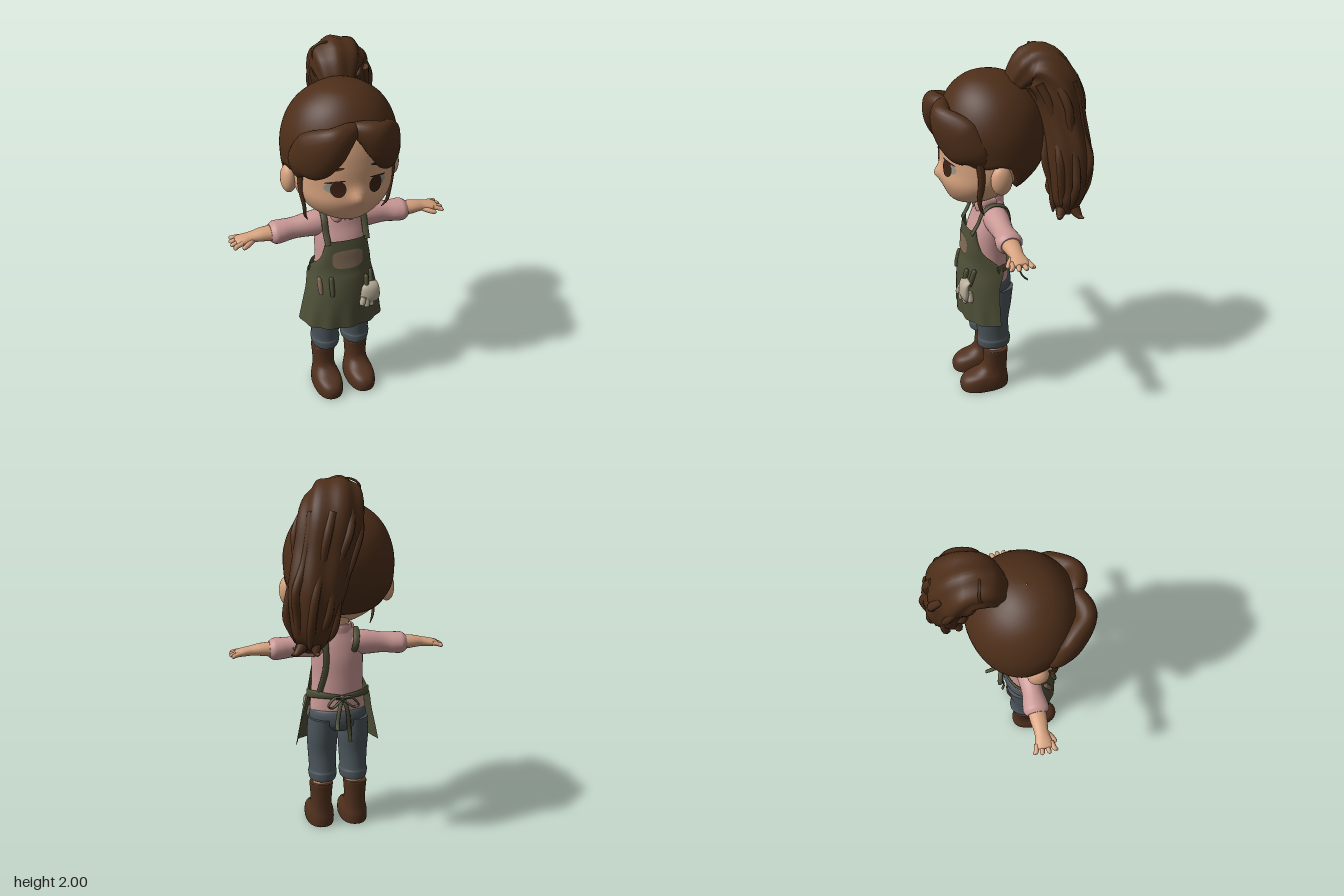
import * as THREE from 'three';

const V3 = (x, y, z) => new THREE.Vector3(x, y, z);
const X = V3(1, 0, 0), Y = V3(0, 1, 0), Z = V3(0, 0, 1);
const paint = (name, color) => {
  const m = new THREE.MeshStandardMaterial({ color, side: THREE.DoubleSide });
  m.name = name;
  return m;
};

// Smooth interpolation of a table of number rows
function at(table, t) {
  const n = table.length - 1, i = Math.max(0, Math.min(n - 1, Math.floor(t))), f = t - i;
  const p = k => table[Math.max(0, Math.min(n, i + k))];
  return table[0].map((_, c) => {
    const a = p(-1)[c], b = p(0)[c], d = p(1)[c], e = p(2)[c];
    return b + 0.5 * f * (d - a + f * (2 * a - 5 * b + 4 * d - e + f * (3 * (b - d) + e - a)));
  });
}
// Table position whose first value is y
function find(table, y) {
  let lo = 0, hi = table.length - 1;
  for (let k = 0; k < 30; k++) {
    const m = (lo + hi) / 2;
    if (at(table, m)[0] < y) lo = m; else hi = m;
  }
  return lo;
}
// Surface through rows of points
function skinRows(rows, closed) {
  const w = rows[0].length, idx = [];
  for (let i = 0; i < rows.length - 1; i++)
    for (let j = 0; j < (closed ? w : w - 1); j++) {
      const k = (j + 1) % w, a = i * w + j, b = i * w + k, c = a + w, d = b + w;
      idx.push(a, b, c, b, d, c);
    }
  const g = new THREE.BufferGeometry().setFromPoints(rows.flat());
  g.setIndex(idx);
  g.computeVertexNormals();
  return g;
}
function capped(rows) {
  const end = r => {
    const c = r.reduce((s, p) => s.add(p), V3(0, 0, 0)).divideScalar(r.length);
    return r.map(() => c.clone());
  };
  const first = rows[0], last = rows[rows.length - 1];
  return skinRows([end(first), first, ...rows, last, end(last)], true);
}
const pw = (v, p) => Math.sign(v) * Math.abs(v) ** p;
const ringPoint = ([y, rx, zb, zf], a, cx = 0, p = 1) =>
  V3(cx + rx * pw(Math.sin(a), p), y, (zb + zf) / 2 + (zf - zb) / 2 * pw(Math.cos(a), p));
// Upright body from rows of [y, half width, back z, front z]
function loft(table, cx = 0, p = 1, seg = 36) {
  const n = (table.length - 1) * 5, rows = [];
  for (let i = 0; i <= n; i++) {
    const r = at(table, i / 5);
    rows.push(Array.from({ length: seg }, (_, j) => ringPoint(r, j / seg * Math.PI * 2, cx, p)));
  }
  return capped(rows);
}
// Tube along rows of [x, y, z, radius across, radius along up]
function sweep(table, up = Y, seg = 14, ridge = 0) {
  const n = (table.length - 1) * 6, rows = [], end = table.length - 1;
  for (let i = 0; i <= n; i++) {
    const t = i / 6, [x, y, z, a, b] = at(table, t);
    const q = at(table, Math.min(end, t + 0.02)), o = at(table, Math.max(0, t - 0.02));
    const T = V3(q[0] - o[0], q[1] - o[1], q[2] - o[2]).normalize();
    const N = up.clone().cross(T).normalize(), B = T.clone().cross(N);
    rows.push(Array.from({ length: seg }, (_, j) => {
      const f = j / seg * Math.PI * 2, k = 1 + ridge * Math.cos(7 * f + t);
      return V3(x, y, z).addScaledVector(N, a * k * Math.cos(f)).addScaledVector(B, b * k * Math.sin(f));
    }));
  }
  return capped(rows);
}
// Thin plate laid on a curved front
function patch(zAt, cx, cy, w, h, off, p = 1, tilt = 0) {
  const g = new THREE.RingGeometry(0.001, 1, 32, 5), q = g.attributes.position;
  for (let i = 0; i < q.count; i++) {
    const r = Math.hypot(q.getX(i), q.getY(i)), a = Math.atan2(q.getY(i), q.getX(i));
    const x = cx + w * r * pw(Math.cos(a), p), y = cy + h * r * pw(Math.sin(a), p) + tilt * (x - cx);
    q.setXYZ(i, x, y, zAt(x, y) + off);
  }
  g.computeVertexNormals();
  return g;
}

const HEAD = [[1.185, .03, .14, .24], [1.2, .11, .08, .295], [1.25, .195, .01, .328], [1.32, .245, -.06, .352],
  [1.4, .265, -.12, .345], [1.5, .262, -.14, .345], [1.6, .25, -.14, .335], [1.68, .21, -.1, .305], [1.76, .1, 0, .2]];
const HAIR = [[1.25, .13, -.02, .2], [1.3, .22, -.1, .25], [1.4, .283, -.18, .29], [1.5, .3, -.208, .325],
  [1.6, .297, -.21, .352], [1.7, .265, -.178, .328], [1.78, .21, -.115, .282], [1.835, .135, -.04, .22],
  [1.86, .065, .02, .155], [1.868, .002, .085, .09]];
const APRON = [[.49, .236, .09, .275], [.6, .216, .09, .277], [.7, .196, .085, .275], [.79, .177, .06, .265],
  [.84, .163, .095, .252], [.9, .142, .16, .243], [.97, .124, .185, .238], [1.03, .115, .19, .228]];
const TORSO = [[.7, .153, -.005, .2], [.715, .158, -.01, .21], [.8, .15, -.01, .22], [.9, .145, -.01, .225],
  [1, .145, -.01, .21], [1.08, .138, 0, .18], [1.14, .11, .012, .165], [1.18, .07, .02, .15]];
// Lower hair edge by angle from the front, in degrees
const EDGE = [[0, 1.69], [30, 1.58], [55, 1.45], [75, 1.455], [90, 1.445], [104, 1.36], [125, 1.285], [180, 1.27]];

const round = (x, r) => Math.sqrt(Math.max(0, 1 - (x / r) ** 2));
const faceZ = (x, y) => {
  const [, rx, zb, zf] = at(HEAD, find(HEAD, y));
  return (zb + zf) / 2 + (zf - zb) / 2 * round(x, rx);
};
const apronZ = (x, y) => {
  const [, hw, zs, zf] = at(APRON, find(APRON, y));
  return zs + (zf - zs) * round(x, hw) ** .8;
};

// Head with a soft nose raised from the face
function headShape() {
  const g = loft(HEAD, 0, 1, 96), q = g.attributes.position;
  for (let i = 0; i < q.count; i++) {
    const x = q.getX(i), y = q.getY(i), z = q.getZ(i);
    if (z > .25) q.setZ(i, z + .032 * Math.exp(-((x / .032) ** 2) - ((y - 1.352) / .038) ** 2));
  }
  g.computeVertexNormals();
  return g;
}
function hairCap() {
  const seg = 72, n = 30, rows = [];
  for (let i = 0; i <= n; i++) rows.push(Array.from({ length: seg }, (_, j) => {
    const a = j / seg * Math.PI * 2, deg = Math.min(a, Math.PI * 2 - a) * 180 / Math.PI;
    const t0 = find(HAIR, at(EDGE, find(EDGE, deg))[1]);
    return ringPoint(at(HAIR, t0 + (HAIR.length - 1 - t0) * i / n), a);
  }));
  const lip = rows[0].map(p => V3(p.x * .86, p.y + .01, .08 + (p.z - .08) * .86));
  return skinRows([lip, ...rows], true);
}
function apronFront() {
  const rows = [];
  for (let i = 0; i <= 42; i++) {
    const [y, hw, zs, zf] = at(APRON, i / 6), fold = .005 * Math.max(0, (.68 - y) / .19);
    rows.push(Array.from({ length: 49 }, (_, j) => {
      const a = (j / 48 - .5) * Math.PI, k = fold * Math.cos(a * 12);
      return V3((hw + k) * Math.sin(a), y, zs + (zf + k - zs) * Math.max(0, Math.cos(a)) ** .8);
    }));
  }
  return skinRows(rows, false);
}

export function createModel() {
  const model = new THREE.Group();
  const hair = paint('hair brown', 0x4d2e19), skin = paint('skin', 0xd6a27e), pink = paint('shirt pink', 0xc99895),
    green = paint('apron green', 0x4e4f37), denim = paint('denim', 0x4b555b), leather = paint('boot leather', 0x50301d),
    cream = paint('glove cream', 0xb5aa96), tan = paint('pocket tan', 0x806a56), iris = paint('iris brown', 0x3d2114),
    white = paint('eye grey', 0x96988a);
  const add = (name, mat, geo) => {
    const m = new THREE.Mesh(geo, mat);
    m.name = name;
    model.add(m);
  };
  const ball = (name, mat, x, y, z, a, b, c) =>
    add(name, mat, new THREE.SphereGeometry(1, 24, 16).scale(a, b, c).translate(x, y, z));

  // Head
  add('head', skin, headShape());
  add('neck', skin, loft([[1.1, .07, .02, .15], [1.18, .06, .025, .145], [1.26, .065, .02, .15]]));
  add('hairCap', hair, hairCap());

  // Ponytail with loose locks
  const TAIL = [[.03, 1.79, -.02, .05, .08], [.055, 1.885, -.13, .115, .135], [.1, 1.8, -.22, .128, .16],
    [.148, 1.62, -.255, .118, .152], [.19, 1.45, -.275, .12, .145], [.212, 1.3, -.275, .1, .12],
    [.22, 1.2, -.265, .078, .092], [.235, 1.135, -.255, .03, .04]];
  add('ponytail', hair, sweep(TAIL, X, 56, .045));
  for (let k = 0; k < 9; k++) {
    const a = k / 9 * Math.PI * 2, low = .03 * Math.sin(k * 2.4);
    add('ponytailLock', hair, sweep([1.7, 2.4, 3.2, 4, 4.8, 5.5, 6.2].map((t, i) => {
      const [x, y, z, p, q] = at(TAIL, t), wave = .93 + .12 * Math.sin(i * 2 + k), r = i > 5 ? .005 : .022;
      return [x + q * wave * Math.cos(a), y + low * i / 6, z + p * wave * Math.sin(a), r, r];
    }), X, 8));
  }
  for (const [dx, dz] of [[.07, -.05], [-.03, -.07], [.05, .05]])
    add('ponytailTip', hair, sweep([[.22, 1.26, -.265, .04, .04], [.22 + dx * .6, 1.18, -.265 + dz * .6, .032, .032],
      [.23 + dx, 1.14, -.265 + dz, .016, .018], [.23 + dx * 1.4, 1.14, -.265 + dz * 1.3, .003, .003]], Z, 10));
  add('flyawayLock', hair, sweep([[.05, 1.98, -.12, .006, .006], [-.02, 1.985, -.13, .006, .006],
    [-.065, 1.95, -.14, .006, .006], [-.06, 1.88, -.12, .004, .004]], Z, 8));

  for (const s of [1, -1]) {
    const mir = table => table.map(([x, ...r]) => [s * x, ...r]);
    // Face and fringe
    ball('ear', skin, s * .28, 1.385, .098, .041, .078, .055);
    add('eyeWhite', white, patch(faceZ, s * .112, 1.41, .05, .03, .003));
    add('iris', iris, patch(faceZ, s * .098, 1.404, .038, .044, .006));
    add('upperLash', iris, patch(faceZ, s * .112, 1.444, .05, .005, .007, 1, -s * .15));
    add('eyebrow', hair, patch(faceZ, s * .1, 1.512, .032, .008, .005, 1, -s * .2));
    add('fringe', hair, sweep([[-.02, 1.71, .3, .02, .02], [.03, 1.7, .332, .045, .052],
      [.11, 1.655, .346, .06, .092], [.19, 1.58, .28, .06, .122], [.238, 1.51, .21, .045, .085],
      [.25, 1.445, .185, .014, .025]].map(([x, ...r]) => [s * x - .012, ...r]), Y, 24));
    add('sideLock', hair, sweep(mir([[.24, 1.5, .2, .02, .025], [.247, 1.38, .19, .014, .02],
      [.232, 1.27, .2, .01, .013], [.225, 1.21, .19, .008, .009], [.205, 1.165, .17, .002, .002]]), Z, 10));

    // Arm and hand
    add('sleeve', pink, sweep(mir([[.05, 1.09, .08, .068, .058], [.13, 1.083, .08, .068, .07],
      [.25, 1.075, .08, .056, .058], [.32, 1.07, .08, .066, .06], [.36, 1.068, .08, .069, .06],
      [.385, 1.068, .08, .053, .046]]), Y, 24));
    add('forearm', skin, sweep(mir([[.36, 1.068, .08, .05, .042], [.43, 1.07, .08, .044, .035],
      [.485, 1.066, .08, .037, .027], [.535, 1.06, .08, .045, .023], [.565, 1.057, .08, .042, .016],
      [.573, 1.057, .08, .02, .008]]), Y, 20));
    for (let k = 0; k < 4; k++) {
      const z = .042 + k * .026, tip = .606 - .008 * Math.abs(k - 1.5);
      add('finger', skin, sweep(mir([[.54, 1.06, z, .013, .013], [.575, 1.054, z + (k - 1.5) * .006, .013, .012],
        [tip - .008, 1.05, z + (k - 1.5) * .012, .011, .01], [tip, 1.049, z + (k - 1.5) * .013, .003, .003]]), Y, 10));
    }
    add('thumb', skin, sweep(mir([[.48, 1.06, .1, .015, .015], [.515, 1.05, .128, .014, .014],
      [.54, 1.045, .143, .011, .011], [.547, 1.044, .147, .003, .003]]), Y, 10));

    // Leg and boot
    add('trouserLeg', denim, loft([[.283, .062, .02, .17], [.29, .076, .002, .188], [.33, .082, 0, .191],
      [.352, .077, .006, .186], [.45, .082, .01, .195], [.55, .087, -.005, .2], [.66, .08, -.018, .2]], s * .09));
    add('ankle', skin, loft([[.22, .05, .04, .14], [.3, .054, .035, .145]], s * .095));
    add('boot', leather, loft([[0, .072, .02, .285], [.008, .08, .015, .295], [.05, .081, .015, .296],
      [.085, .075, .02, .27], [.115, .064, .022, .2], [.15, .06, .022, .163], [.21, .063, .02, .155],
      [.255, .067, .018, .155], [.262, .063, .022, .15]], s * .1, .85));

    // Collar flap, apron straps and ties; the right strap tucks in behind the shoulder
    add('collarFlap', pink, sweep(mir([[.006, 1.17, .157, .006, .006], [.04, 1.148, .168, .008, .036],
      [.075, 1.17, .13, .008, .024], [.08, 1.18, .07, .008, .018]]), Y, 12));
    add('apronStrap', green, sweep(mir([[.107, 1.01, .215, .007, .018], [.11, 1.07, .18, .007, .018],
      [.108, 1.135, .15, .007, .018], [.1, 1.163, .09, .007, .018], [.092, 1.135, .022, .007, .018],
      ...(s > 0 ? [[.085, 1.06, -.001, .007, .018], [.088, .95, .001, .007, .018], [.12, .82, .018, .007, .018]]
        : [[.08, 1.08, -.002, .007, .018], [.07, 1.03, .03, .007, .018]])]), X, 10));
    add('waistTie', green, sweep(mir([[.174, .8, .09, .007, .026], [.14, .808, .03, .007, .022],
      [.08, .805, -.007, .007, .017], [0, .795, -.02, .007, .015]]), Y, 10));
    add('bowLoop', green, sweep(mir([[0, .795, -.03, .006, .012], [.045, .805, -.05, .006, .014],
      [.085, .765, -.06, .006, .014], [.055, .75, -.05, .006, .014], [0, .79, -.032, .006, .01]]), Z, 8));
    add('bowTail', green, sweep([[0, .795, -.03, .005, .01], [s * .025, .73, -.055 - .01 * s, .005, .012],
      [s * .04, .64 + .03 * s, -.06 - .03 * s, .005, .012], [s * .045, .59 + .05 * s, -.08 - .04 * s, .005, .01]], X, 8));
  }
  ball('bowKnot', green, 0, .795, -.032, .018, .018, .014);

  // Body
  add('shirt', pink, loft(TORSO));
  add('collarBand', pink, loft([[1.15, .082, .012, .15], [1.18, .076, .012, .142], [1.198, .07, .015, .132]]));
  add('openNeck', skin, sweep([[0, 1.185, .15, .03, .008], [0, 1.16, .167, .02, .006], [0, 1.12, .175, .002, .003]], Z, 10));
  add('trouserSeat', denim, loft([[.585, .12, .02, .18], [.62, .153, -.018, .2], [.67, .162, -.025, .207],
    [.705, .158, -.018, .208], [.715, .15, -.005, .2]]));

  // Apron with a chest pocket
  add('apron', green, apronFront());
  add('chestPocket', tan, patch(apronZ, -.007, .922, .085, .054, .005, .55));

  // Glove and tools hanging on the apron front
  add('glovePalm', cream, sweep([[.115, .742, apronZ(.115, .74), .045, .012], [.115, .72, .262, .052, .022],
    [.113, .67, .266, .058, .026], [.11, .638, .262, .052, .018]], Z, 20));
  for (const [x, y, dx] of [[.072, .63, -.014], [.094, .606, -.003], [.12, .6, .004], [.145, .618, .012]]) {
    const row = (k, r) => [x + dx * k, .68 + (y - .68) * k, apronZ(x + dx * k, .68 + (y - .68) * k) + .014, r, r];
    add('gloveFinger', cream, sweep([row(0, .014), row(.5, .017), row(.88, .015), row(1, .004)], Z, 10));
  }
  for (const [x, top, mat] of [[.097, .8, green], [.133, .808, green], [-.152, .8, tan], [-.1, .82, green]]) {
    const row = (y, r) => [x, y, apronZ(x, y) + .006, r, r];
    add('toolHandle', mat, sweep([row(.71, .011), row(.75, .014), row(top - .012, .013), row(top, .004)], Z, 10));
  }
  return model;
}
